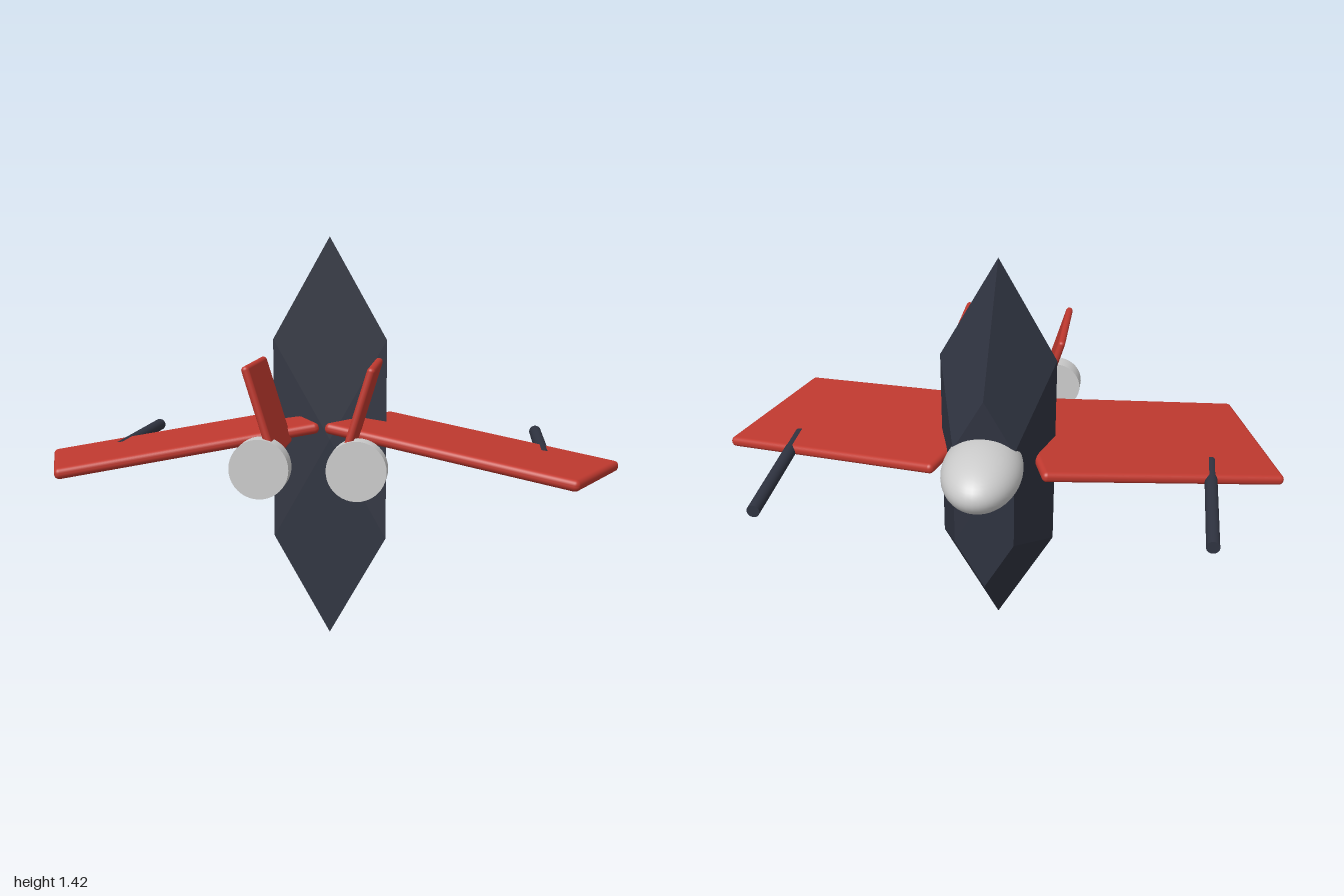
import * as THREE from 'three';
import { RoundedBoxGeometry } from 'three/addons/geometries/RoundedBoxGeometry.js';

const rad = THREE.MathUtils.degToRad;

export function createModel() {
  const model = new THREE.Group();
  const red = new THREE.MeshStandardMaterial({ color: 0xc0392f });
  const dark = new THREE.MeshStandardMaterial({ color: 0x2f3340 });
  const darkFlat = new THREE.MeshStandardMaterial({ color: 0x2f3340, flatShading: true });
  const grey = new THREE.MeshStandardMaterial({ color: 0xcccccc });

  const add = (name, geometry, material, x, y, z) => {
    const mesh = new THREE.Mesh(geometry, material);
    mesh.name = name;
    mesh.position.set(x, y, z);
    model.add(mesh);
    return mesh;
  };

  // Hull: tall six-sided frustum narrowing towards -z
  const hull = new THREE.CylinderGeometry(0.354, 0.708, 0.336, 6);
  hull.rotateX(-Math.PI / 2).scale(0.326, 1, 1);
  add('hull', hull, darkFlat, 0, 0.708, -0.177);

  // Cockpit: smooth ellipsoid sunk into the narrow end of the hull
  const cockpit = new THREE.SphereGeometry(1, 40, 28);
  cockpit.scale(0.131, 0.1, 0.21);
  add('cockpit', cockpit, grey, 0, 0.83, -0.372);

  const wing = new RoundedBoxGeometry(0.875, 0.037, 0.534, 4, 0.017);
  const fin = new RoundedBoxGeometry(0.025, 0.3, 0.336, 4, 0.012);
  const engine = new THREE.CylinderGeometry(0.093, 0.093, 0.065, 40).rotateX(Math.PI / 2);
  const gun = new THREE.CylinderGeometry(0.022, 0.022, 0.537, 24).rotateX(Math.PI / 2);

  // Mirrored parts
  for (const [side, s] of [['left', 1], ['right', -1]]) {
    // Swept in plan, then drooped towards the tip
    const w = add(side + 'Wing', wing, red, s * 0.503, 0.713, 0.121);
    w.rotation.set(0, s * rad(-20), s * rad(-8.4), 'ZYX');

    const f = add(side + 'Fin', fin, red, s * 0.151, 0.88, 0.397);
    f.rotation.z = s * rad(-17);

    add(side + 'Engine', engine, grey, s * 0.15, 0.71, 0.547);
    add(side + 'Gun', gun, dark, s * 0.742, 0.677, -0.212);
  }
  return model;
}
